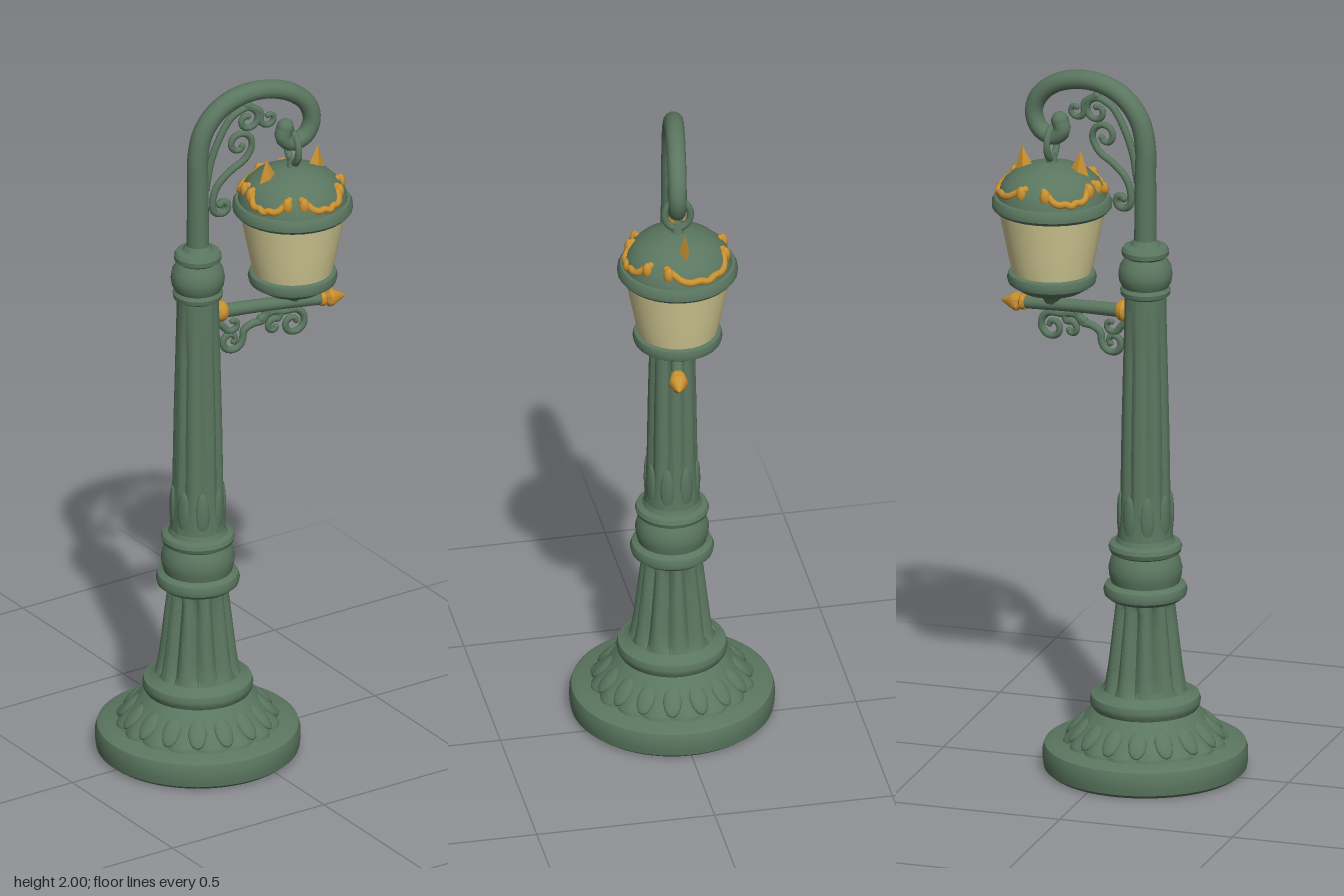
import * as THREE from 'three';
import { toCreasedNormals } from 'three/addons/utils/BufferGeometryUtils.js';

const mat = (name, color) => {
  const m = new THREE.MeshStandardMaterial({ color });
  m.name = name;
  return m;
};
const V = (x, y, z = 0) => new THREE.Vector3(x, y, z);

export function createModel() {
  const green = mat('paintedIron', 0x5b7760);
  const gold = mat('gold', 0xc99130);
  const glass = mat('warmGlass', 0xd8cf98);
  const root = new THREE.Group();
  root.name = 'streetLamp';

  const add = (parent, name, geo, material, x = 0, y = 0, z = 0) => {
    const m = new THREE.Mesh(geo, material);
    m.name = name;
    m.position.set(x, y, z);
    parent.add(m);
    return m;
  };

  // Turned part; flute(y) gives the depth of vertical grooves at a height
  const turned = (profile, segs, count = 0, flute = null) => {
    const g = new THREE.LatheGeometry(profile.map(p => new THREE.Vector2(...p)), segs);
    if (flute) {
      const p = g.attributes.position;
      for (let i = 0; i < p.count; i++) {
        const x = p.getX(i), z = p.getZ(i), r = Math.hypot(x, z);
        if (r < 1e-4) continue;
        const wave = Math.abs(Math.cos(Math.atan2(z, x) * count / 2));
        const k = 1 - flute(p.getY(i)) * (1 - wave) / r;
        p.setX(i, x * k);
        p.setZ(i, z * k);
      }
    }
    return toCreasedNormals(g, 0.6);
  };

  // Tube through points, radius running from r0 to r1, closed by round ends
  const rod = (parent, name, pts, r0, r1, material, steps = 48, sides = 10) => {
    const curve = new THREE.CatmullRomCurve3(pts);
    const g = new THREE.TubeGeometry(curve, steps, 1, sides);
    const p = g.attributes.position, v = V(0, 0);
    for (let i = 0; i < p.count; i++) {
      const t = Math.floor(i / (sides + 1)) / steps;
      const c = curve.getPointAt(t);
      v.fromBufferAttribute(p, i).sub(c).multiplyScalar(r0 + (r1 - r0) * t).add(c);
      p.setXYZ(i, v.x, v.y, v.z);
    }
    add(parent, name, g, material);
    [[pts[0], r0], [pts[pts.length - 1], r1]].forEach(([e, r]) =>
      add(parent, name + 'End', new THREE.SphereGeometry(r * 1.04, 10, 8), material, e.x, e.y, e.z));
  };

  // Points of a spiral winding inward, angles in degrees
  const spiral = (cx, cy, r, a0, a1, n = 12) => Array.from({ length: n + 1 }, (_, i) => {
    const t = i / n, a = THREE.MathUtils.degToRad(a0 + (a1 - a0) * t), q = r * (1 - 0.72 * t);
    return V(cx + q * Math.cos(a), cy + q * Math.sin(a));
  });

  // Post with base, foot, fluted column and collars
  const post = new THREE.Group();
  post.name = 'post';
  post.position.x = -0.085;
  root.add(post);

  add(post, 'base', turned([[0, 0], [0.268, 0], [0.28, 0.01], [0.283, 0.03], [0.283, 0.06],
    [0.278, 0.076], [0.262, 0.085], [0, 0.086]], 64), green);
  add(post, 'foot', turned([[0.23, 0.08], [0.226, 0.095], [0.208, 0.112], [0.188, 0.132], [0.168, 0.155],
    [0.145, 0.18], [0.151, 0.19], [0.153, 0.203], [0.149, 0.217], [0.132, 0.222], [0.118, 0.235]],
    64, 16, y => (y < 0.15 ? 0.014 : 0)), green);
  for (let i = 0; i < 16; i++) {
    const pivot = new THREE.Group();
    pivot.name = 'footLeaf';
    pivot.rotation.y = (i + 0.5) / 16 * Math.PI * 2;
    post.add(pivot);
    const leaf = add(pivot, 'leaf', new THREE.SphereGeometry(1, 12, 8), green, 0.188, 0.127, 0);
    leaf.scale.set(0.046, 0.011, 0.026);
    leaf.rotation.z = -0.8;
  }
  add(post, 'flaredColumn', turned([[0.122, 0.22], [0.114, 0.25], [0.106, 0.3], [0.099, 0.36],
    [0.092, 0.42], [0.086, 0.47], [0.083, 0.505]], 80, 10, y => (y > 0.24 && y < 0.48 ? 0.018 : 0)), green);
  add(post, 'middleCollar', turned([[0.08, 0.49], [0.1, 0.497], [0.113, 0.508], [0.116, 0.522], [0.111, 0.536],
    [0.095, 0.545], [0.1, 0.565], [0.102, 0.585], [0.096, 0.61], [0.088, 0.627], [0.098, 0.633],
    [0.102, 0.645], [0.098, 0.656], [0.082, 0.662], [0.075, 0.68]], 48), green);
  add(post, 'shaft', turned([[0.078, 0.65], [0.076, 0.69], [0.073, 0.75], [0.071, 0.82], [0.068, 1],
    [0.063, 1.2], [0.058, 1.37], [0.058, 1.4]], 64, 8, y => (y > 0.72 && y < 1.36 ? 0.009 : 0)), green);
  for (let i = 0; i < 8; i++) {
    const a = (i + 0.5) / 8 * Math.PI * 2;
    const leaf = add(post, 'shaftLeaf', new THREE.SphereGeometry(1, 10, 8), green,
      0.07 * Math.cos(a), 0.74, 0.07 * Math.sin(a));
    leaf.scale.set(0.009, 0.065, 0.02);
    leaf.rotation.y = -a;
  }
  add(post, 'upperCollar', turned([[0.056, 1.37], [0.068, 1.378], [0.07, 1.39], [0.064, 1.4], [0.072, 1.415],
    [0.075, 1.435], [0.071, 1.46], [0.06, 1.478], [0.056, 1.485], [0.065, 1.492], [0.066, 1.505],
    [0.06, 1.515], [0.042, 1.52], [0.032, 1.535]], 32), green);

  // Everything on the arm side is swung slightly forward
  const arm = new THREE.Group();
  arm.name = 'arm';
  arm.rotation.y = -0.158;
  post.add(arm);

  rod(arm, 'crook', [V(0, 1.5), V(0, 1.62), V(0, 1.72), V(0, 1.8), V(0.018, 1.876), V(0.065, 1.934),
    V(0.13, 1.964), V(0.205, 1.968), V(0.28, 1.945), V(0.331, 1.9), V(0.345, 1.85), V(0.325, 1.805),
    V(0.285, 1.79), V(0.258, 1.812), V(0.265, 1.84)], 0.032, 0.024, green, 80, 14);

  // Scrollwork inside the crook
  const upper = new THREE.Group();
  upper.name = 'upperScrollwork';
  arm.add(upper);
  rod(upper, 'longScroll', [...spiral(0.073, 1.638, 0.028, 190, 500, 9).reverse(), V(0.047, 1.67),
    V(0.062, 1.705), V(0.1, 1.74), V(0.14, 1.765), ...spiral(0.125, 1.815, 0.042, -40, 330)], 0.011, 0.009, green, 90, 8);
  rod(upper, 'topScroll', [V(0.025, 1.7), V(0.04, 1.78), V(0.068, 1.85), V(0.1, 1.9),
    ...spiral(0.15, 1.885, 0.04, 130, -280)], 0.011, 0.009, green, 70, 8);
  rod(upper, 'sideScroll', [V(0.15, 1.93), V(0.19, 1.9), ...spiral(0.215, 1.88, 0.026, 190, 470, 8)], 0.011, 0.008, green, 50, 8);

  // Lower bracket
  const bracket = new THREE.Group();
  bracket.name = 'lowerBracket';
  arm.add(bracket);
  rod(bracket, 'crossRod', [V(0.04, 1.318), V(0.2, 1.31), V(0.375, 1.295)], 0.02, 0.017, green, 12, 12);
  const side = (name, profile, x, y) => {
    add(bracket, name, turned(profile, 16), gold, x, y).rotation.z = -Math.PI / 2 - 0.05;
  };
  side('rodCollar', [[0, 0], [0.026, 0], [0.031, 0.009], [0.029, 0.022], [0.022, 0.03], [0, 0.031]], 0.054, 1.319);
  side('rodFinial', [[0, 0], [0.021, 0], [0.022, 0.012], [0.016, 0.018], [0.026, 0.026], [0.026, 0.035],
    [0.017, 0.052], [0.008, 0.068], [0, 0.078]], 0.368, 1.296);
  rod(bracket, 'innerScroll', [V(0.215, 1.3), V(0.195, 1.265), V(0.165, 1.26), V(0.14, 1.245),
    ...spiral(0.1, 1.222, 0.036, 0, -390)], 0.012, 0.009, green, 70, 8);
  rod(bracket, 'wallScroll', [V(0.055, 1.29), V(0.075, 1.27), ...spiral(0.105, 1.272, 0.026, 200, 450, 8)], 0.011, 0.008, green, 40, 8);
  rod(bracket, 'outerScroll', [V(0.19, 1.27), V(0.22, 1.285), V(0.26, 1.28),
    ...spiral(0.287, 1.24, 0.04, 75, -330)], 0.012, 0.009, green, 70, 8);
  rod(bracket, 'smallScroll', [V(0.25, 1.28), ...spiral(0.23, 1.24, 0.025, 60, 330, 8)], 0.011, 0.009, green, 40, 8);

  // Hanging lantern
  const lantern = new THREE.Group();
  lantern.name = 'lantern';
  lantern.position.set(0.2, 0, 0.043);
  root.add(lantern);
  add(lantern, 'bowl', turned([[0, 1.305], [0.018, 1.308], [0.028, 1.325], [0.05, 1.337], [0.085, 1.347],
    [0.108, 1.362], [0.12, 1.37], [0.124, 1.384], [0.12, 1.398], [0.11, 1.402], [0, 1.402]], 32), green);
  add(lantern, 'shade', turned([[0.109, 1.398], [0.119, 1.44], [0.131, 1.5], [0.143, 1.56], [0.149, 1.59]], 32), glass);
  add(lantern, 'rim', turned([[0.14, 1.58], [0.158, 1.581], [0.166, 1.59], [0.166, 1.605], [0.159, 1.618],
    [0.148, 1.62]], 32), green);
  add(lantern, 'dome', turned([[0.152, 1.615], [0.148, 1.635], [0.135, 1.66], [0.112, 1.683], [0.08, 1.7],
    [0.045, 1.711], [0.02, 1.716], [0, 1.717]], 32), green);

  // Gold garlands round the dome with rising, curled ends
  [[48, 112], [128, 185], [200, 262], [288, 385]].forEach(([a0, a1]) => {
    const pts = [];
    for (let i = 0; i <= 10; i++) {
      const t = i / 10, a = THREE.MathUtils.degToRad(a0 + (a1 - a0) * t);
      const lift = Math.abs(2 * t - 1) ** 3 * 0.85 + 0.15 * Math.sin(t * Math.PI * 4) ** 2;
      const r = 0.149 - 0.028 * lift;
      pts.push(V(r * Math.cos(a), 1.633 + 0.042 * lift, r * Math.sin(a)));
    }
    rod(lantern, 'garland', pts, 0.01, 0.01, gold, 32, 8);
    [0.03, 0.97].forEach(t => {
      const a = THREE.MathUtils.degToRad(a0 + (a1 - a0) * t);
      const leaf = add(lantern, 'garlandLeaf', new THREE.SphereGeometry(1, 10, 8), gold,
        0.134 * Math.cos(a), 1.655, 0.134 * Math.sin(a));
      leaf.scale.set(0.014, 0.024, 0.015);
      leaf.rotation.y = -a;
    });
  });

  // Pointed crests on either side of the dome
  for (const s of [-1, 1]) {
    const crest = add(lantern, 'crest', toCreasedNormals(new THREE.ConeGeometry(0.043, 0.1, 4), 0.5),
      gold, s * 0.08, 1.707, -0.003);
    crest.scale.z = 0.55;
    crest.rotation.z = -s * 0.1;
  }

  // Ring and stem joining the lantern to the crook
  add(lantern, 'hangerStem', new THREE.CylinderGeometry(0.01, 0.02, 0.04, 12), green, 0, 1.725);
  const ring = add(lantern, 'hangerRing', new THREE.TorusGeometry(0.036, 0.01, 8, 24), green, 0, 1.772);
  ring.rotation.y = Math.PI / 2 - 0.1;
  ring.scale.y = 1.2;

  return root;
}
